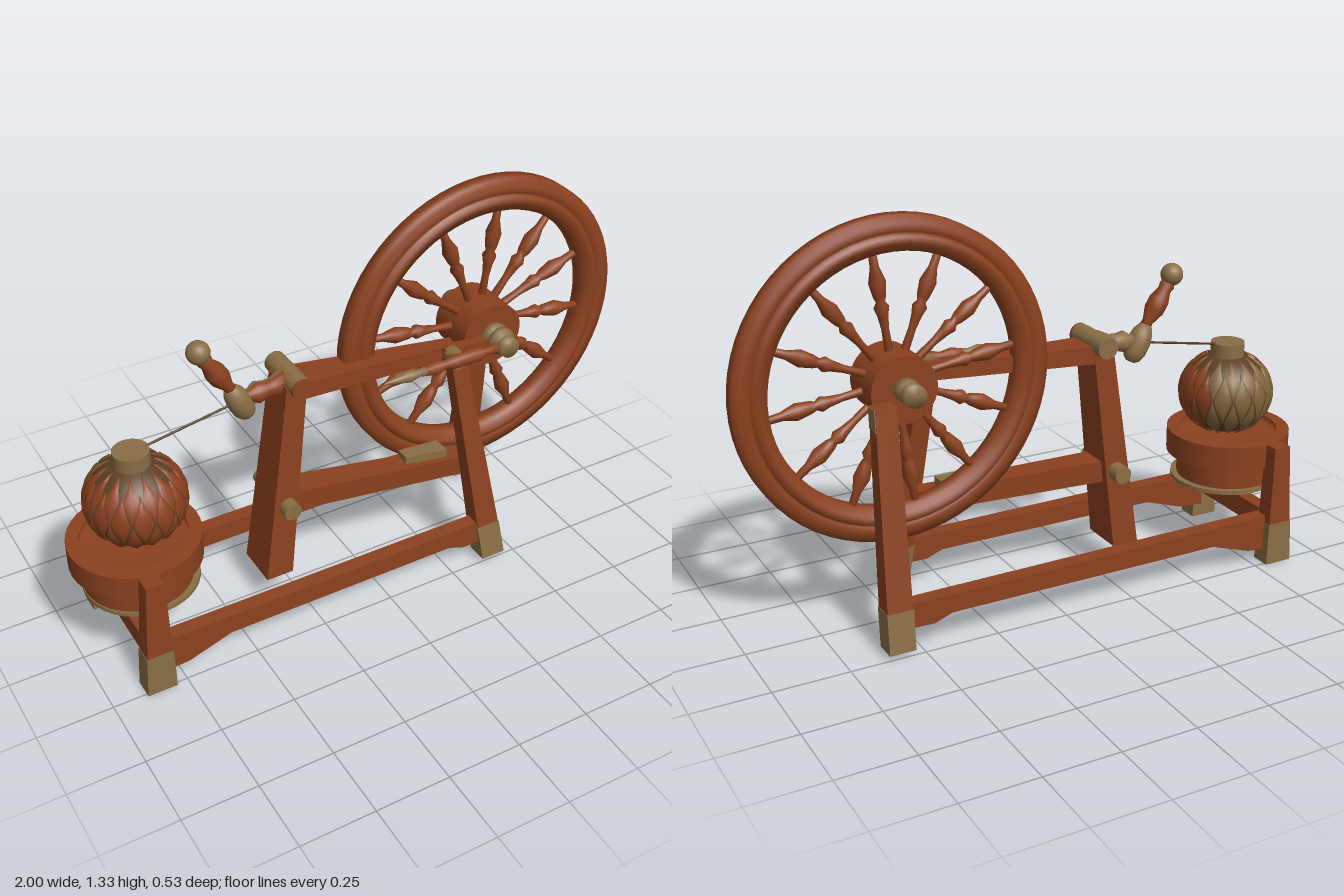
import * as THREE from 'three';

const mat = (name, color) => {
  const m = new THREE.MeshStandardMaterial({ color });
  m.name = name;
  return m;
};

export function createModel() {
  const model = new THREE.Group();
  model.name = 'spinningWheel';
  const wood = mat('redWood', 0x8b411f);
  const tan = mat('paleWood', 0x8a6e45);
  const yarn = mat('darkYarn', 0x5a3f22);
  const leafRed = mat('redYarn', 0x8b411f);
  const leafTan = mat('paleYarn', 0x7f6238);
  leafRed.side = leafTan.side = THREE.DoubleSide;
  const V = (p) => new THREE.Vector3(...p);

  function add(name, geo, material, parent = model) {
    const m = new THREE.Mesh(geo, material);
    m.name = name;
    parent.add(m);
    return m;
  }

  // Straight bar between two points; sa and sb are the two cross sizes at each end
  function bar(name, axis, a, b, sa, sb, material) {
    const geo = new THREE.BoxGeometry(1, 1, 1);
    const p = geo.attributes.position;
    const others = [0, 1, 2].filter((i) => i !== axis);
    for (let i = 0; i < p.count; i++) {
      const c = [p.getX(i), p.getY(i), p.getZ(i)];
      const t = c[axis] + 0.5;
      const out = [0, 1, 2].map((k) => a[k] + (b[k] - a[k]) * t);
      others.forEach((k, j) => { out[k] += c[k] * (sa[j] + (sb[j] - sa[j]) * t); });
      p.setXYZ(i, ...out);
    }
    geo.computeVertexNormals();
    return add(name, geo, material);
  }

  // Turned piece between two points; profile holds [fraction, radius]
  function turned(name, a, b, profile, material, parent = model, sides = 16, start = 0, sweep = Math.PI * 2) {
    const A = V(a), d = V(b).sub(A), len = d.length();
    const pts = profile.map(([t, r]) => new THREE.Vector2(r, t * len));
    pts.unshift(new THREE.Vector2(0, pts[0].y));
    pts.push(new THREE.Vector2(0, pts[pts.length - 1].y));
    const m = add(name, new THREE.LatheGeometry(pts, sides, start, sweep), material, parent);
    m.position.copy(A);
    m.quaternion.setFromUnitVectors(new THREE.Vector3(0, 1, 0), d.normalize());
    return m;
  }

  // Plain round peg between two points
  function peg(name, a, b, r, material, parent = model, sides = 20) {
    const A = V(a), B = V(b), d = B.clone().sub(A);
    const m = add(name, new THREE.CylinderGeometry(r, r, d.length(), sides), material, parent);
    m.position.copy(A.add(B).multiplyScalar(0.5));
    m.quaternion.setFromUnitVectors(new THREE.Vector3(0, 1, 0), d.normalize());
    return m;
  }

  // Leg with a pale foot
  function leg(name, bottom, top, sb, st) {
    const t = (0.15 - bottom[1]) / (top[1] - bottom[1]);
    const mix = (u, v) => u.map((q, i) => q + (v[i] - q) * t);
    const mid = mix(bottom, top), sm = mix(sb, st);
    bar(name, 1, mid, top, sm, st, wood);
    bar(name + 'Foot', 1, bottom, mid, sb, sm.map((s) => s + 0.004), tan);
  }

  // Wheel
  const wheel = new THREE.Group();
  wheel.name = 'wheel';
  wheel.position.set(0.475, 0.81, -0.006);
  model.add(wheel);
  const half = [[0.52, 0], [0.52, 0.024], [0.5, 0.026], [0.494, 0.033], [0.475, 0.034],
    [0.47, 0.028], [0.462, 0.028], [0.457, 0.042], [0.438, 0.042], [0.433, 0.032], [0.412, 0.028], [0.408, 0]];
  const ring = [...half, ...half.slice(1, -1).reverse().map(([r, z]) => [r, -z]), half[0]]
    .map(([r, z]) => new THREE.Vector2(r, z));
  const rimGeo = new THREE.LatheGeometry(ring, 64);
  rimGeo.rotateX(Math.PI / 2);
  add('wheelRim', rimGeo, wood, wheel);
  const spoke = [[0, 0.014], [0.25, 0.012], [0.38, 0.017], [0.46, 0.024], [0.51, 0.014],
    [0.56, 0.02], [0.7, 0.027], [0.84, 0.014], [1, 0.012]];
  for (let i = 0; i < 12; i++) {
    const a = (22 + i * 30) * Math.PI / 180, c = Math.cos(a), s = Math.sin(a);
    turned('spoke', [c * 0.09, s * 0.09, 0], [c * 0.42, s * 0.42, 0], spoke, wood, wheel, 10);
  }
  peg('hub', [0, -0.006, -0.08], [0, -0.006, 0.088], 0.11, wood, wheel, 28);
  turned('axleFront', [0, 0, 0.08], [0, 0, 0.194],
    [[0, 0.042], [0.25, 0.045], [0.3, 0.03], [0.36, 0.03], [0.42, 0.046], [0.62, 0.046], [0.7, 0.03], [0.76, 0.036], [1, 0.034]], tan, wheel, 20);
  turned('axleBack', [0, 0, -0.075], [0, 0, -0.166],
    [[0, 0.038], [0.4, 0.038], [0.45, 0.028], [0.55, 0.028], [0.6, 0.036], [1, 0.036]], tan, wheel, 20);

  // Legs
  leg('wheelLegFront', [0.41, 0.02, 0.222], [0.302, 0.81, 0.125], [0.088, 0.075], [0.055, 0.045]);
  leg('wheelLegBack', [0.58, 0.02, -0.22], [0.56, 0.78, -0.115], [0.088, 0.075], [0.07, 0.05]);
  for (const s of [1, -1])
    leg(s > 0 ? 'standLegFront' : 'standLegBack', [-0.838, 0, 0.227 * s], [-0.83, 0.43, 0.234 * s], [0.1, 0.07], [0.06, 0.054]);
  peg('legPin', [0.302, 0.8, 0.1], [0.302, 0.8, 0.16], 0.028, tan);
  bar('legTopPlate', 1, [0.597, 0.71, -0.125], [0.5955, 0.778, -0.115], [0.006, 0.05], [0.006, 0.048], tan);

  // Long stretchers with shaped ends
  function stretcher(name, endX, z) {
    const s = new THREE.Shape([[-0.82, 0.05], [-0.73, 0.055], [-0.58, 0.105], [endX - 0.17, 0.105],
      [endX - 0.11, 0.083], [endX, 0.085], [endX, 0.168], [-0.82, 0.175]].map((p) => new THREE.Vector2(...p)));
    const m = add(name, new THREE.ExtrudeGeometry(s, { depth: 0.05, bevelEnabled: false }), wood);
    m.position.z = z;
  }
  stretcher('frontStretcher', 0.41, 0.185);
  stretcher('backStretcher', 0.57, -0.235);
  bar('standCrossbar', 2, [-0.836, 0.14, -0.21], [-0.836, 0.14, 0.21], [0.05, 0.075], [0.05, 0.075], wood);

  // Post and the beams that join it to the wheel legs
  bar('post', 1, [-0.325, 0.11, 0], [-0.235, 0.83, 0], [0.095, 0.155], [0.072, 0.12], wood);
  peg('postTopRoll', [-0.23, 0.83, -0.1], [-0.23, 0.83, 0.082], 0.036, tan);
  peg('postTopRollEnd', [-0.23, 0.83, 0.08], [-0.23, 0.83, 0.09], 0.036, wood);
  peg('postPeg', [-0.285, 0.385, -0.12], [-0.285, 0.385, 0.11], 0.03, tan);
  bar('upperBeam', 0, [-0.22, 0.8, -0.003], [0.33, 0.795, 0.068], [0.06, 0.12], [0.05, 0.045], wood);
  bar('upperBeamEnd', 0, [0.28, 0.797, 0.09], [0.47, 0.795, 0.1], [0.045, 0.04], [0.04, 0.03], wood);
  bar('lowerBeam', 0, [-0.28, 0.38, 0.002], [0.37, 0.35, 0.1], [0.075, 0.1], [0.07, 0.07], wood);
  bar('lowerBeamBlock', 0, [0.15, 0.415, 0.065], [0.3, 0.4, 0.075], [0.025, 0.05], [0.035, 0.06], tan);
  bar('wheelCrossbar', 2, [0.565, 0.33, -0.19], [0.4, 0.315, 0.17], [0.05, 0.06], [0.05, 0.07], wood);

  // Spindle
  turned('spindleTip', [0.02, 0.805, 0.155], [0.17, 0.805, 0.155],
    [[0, 0.002], [0.25, 0.01], [0.6, 0.02], [0.85, 0.012], [1, 0.016]], tan);
  turned('spindle', [0.165, 0.805, 0.155], [0.44, 0.805, 0.155],
    [[0, 0.015], [0.15, 0.023], [0.3, 0.015], [0.4, 0.023], [0.75, 0.024], [0.85, 0.014], [1, 0.018]], wood);

  // Crank: the arm is red on its front half and pale behind
  const arm = [[0, 0.02], [0.25, 0.022], [0.4, 0.036], [0.6, 0.028], [0.75, 0.03], [1, 0.046]];
  turned('crankArmFront', [-0.41, 0.805, 0], [-0.25, 0.815, 0], arm, wood, model, 10, -Math.PI / 2, Math.PI);
  turned('crankArmBack', [-0.41, 0.805, 0], [-0.25, 0.815, 0], arm, tan, model, 10, Math.PI / 2, Math.PI);
  turned('crankJoint', [-0.435, 0.855, 0], [-0.375, 0.735, 0],
    [[0, 0.02], [0.2, 0.034], [0.45, 0.04], [0.75, 0.038], [0.92, 0.028], [1, 0.015]], tan);
  turned('crankHandle', [-0.425, 0.84, 0], [-0.522, 0.995, 0],
    [[0, 0.022], [0.15, 0.018], [0.4, 0.034], [0.6, 0.034], [0.8, 0.022], [0.9, 0.026], [1, 0.018]], wood);
  add('crankKnob', new THREE.SphereGeometry(0.038, 18, 12), tan).position.set(-0.53, 1.014, 0);

  // Round stand for the yarn
  const stand = add('yarnStand', new THREE.LatheGeometry([[0, 0.26], [0.175, 0.26], [0.175, 0.26], [0.175, 0.345], [0.175, 0.345],
    [0.213, 0.345], [0.213, 0.345], [0.213, 0.43], [0.213, 0.43], [0.17, 0.43], [0.17, 0.43], [0.17, 0.405], [0, 0.405]]
    .map((p) => new THREE.Vector2(...p)), 40), wood);
  stand.position.x = -0.787;
  peg('standBasePlate', [-0.777, 0.248, 0], [-0.777, 0.262, 0], 0.188, tan, model, 36);
  peg('standBaseDisc', [-0.777, 0.243, 0], [-0.777, 0.25, 0], 0.15, wood, model, 36);

  // Yarn ball wound with staggered rows of pointed strands, pale at the back
  const ball = new THREE.Group();
  ball.name = 'yarnBall';
  ball.position.set(-0.77, 0.565, 0);
  ball.scale.set(0.157, 0.143, 0.157);
  model.add(ball);
  add('ballCore', new THREE.SphereGeometry(1, 32, 20), yarn, ball);
  function strand(phi, t0, t1, w) {
    const pos = [], idx = [], n = 8;
    for (let i = 0; i <= n; i++) {
      const u = i / n, th = t0 + (t1 - t0) * u, k = w * Math.min(u, 1 - u) * 2;
      for (const [s, r] of [[-1, 1.015], [0, 1.05], [1, 1.015]]) {
        const p = new THREE.Vector3().setFromSphericalCoords(r, th, phi + s * k);
        pos.push(p.x, p.y, p.z);
      }
      if (i < n) for (const j of [0, 1]) {
        const a = i * 3 + j;
        idx.push(a, a + 3, a + 1, a + 1, a + 3, a + 4);
      }
    }
    const g = new THREE.BufferGeometry();
    g.setAttribute('position', new THREE.Float32BufferAttribute(pos, 3));
    g.setIndex(idx);
    g.computeVertexNormals();
    add('yarnStrand', g, Math.cos(phi) < -0.6 ? leafTan : leafRed, ball);
  }
  const step = Math.PI / 7;
  for (let i = 0; i < 14; i++) {
    strand(i * step, 0.45, 1.5, 0.18);
    strand((i + 0.5) * step, 0.85, 2.1, 0.19);
    strand(i * step, 1.5, 2.75, 0.19);
  }
  peg('yarnCap', [-0.77, 0.685, 0], [-0.77, 0.745, 0], 0.058, tan, model, 24);
  peg('yarnThread', [-0.72, 0.743, 0], [-0.42, 0.795, 0], 0.004, yarn, model, 6);
  return model;
}
